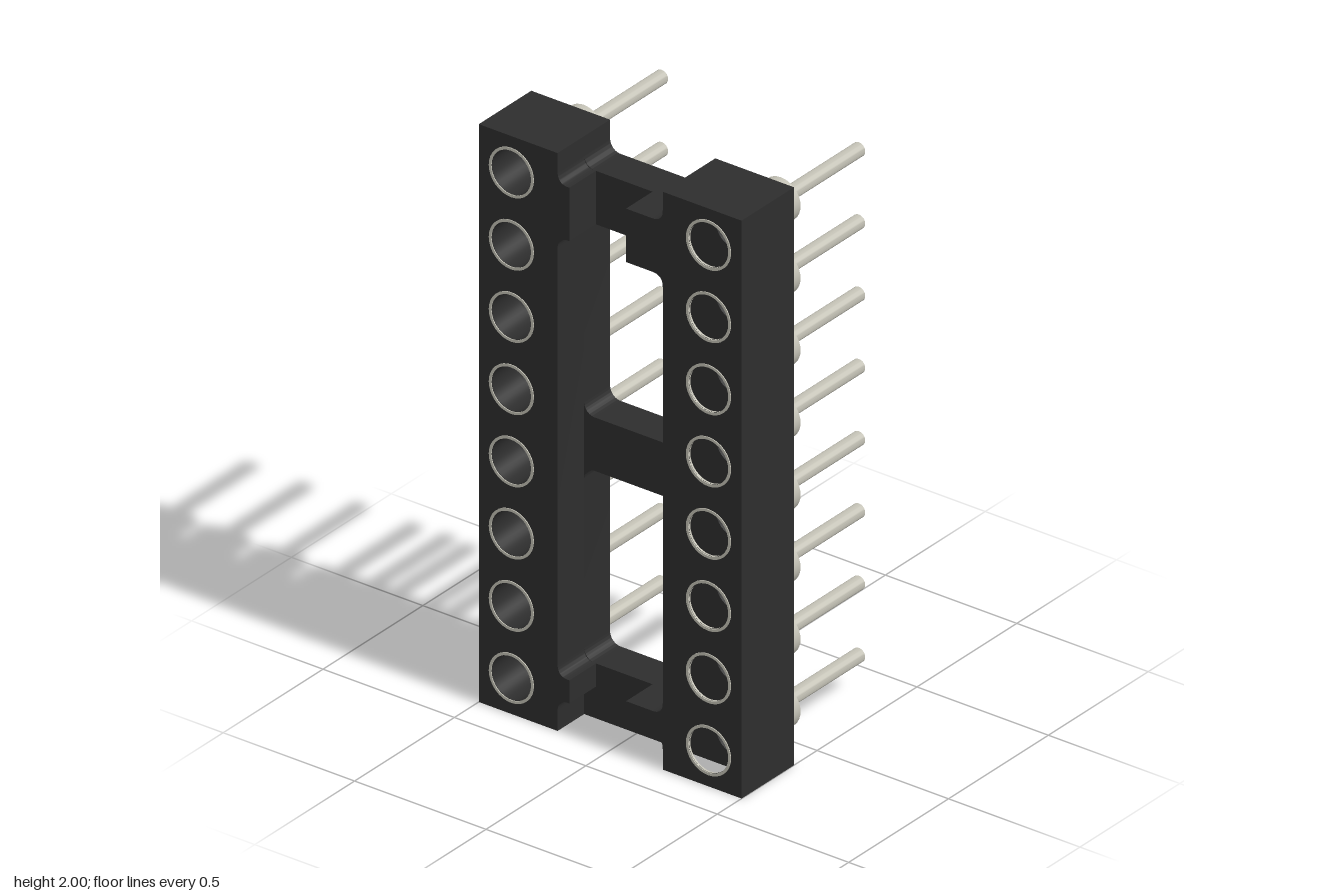
import * as THREE from 'three';
import { toCreasedNormals } from 'three/addons/utils/BufferGeometryUtils.js';

const BACK = 0.115, STEP = 0.245, FRONT = 0.378;
const PIN_X = 0.375, ROWS = 8, INNER = 0.2, R = 0.04;
const rowY = (i) => 0.125 + i * 0.25;

// Round pin sockets along one side
function addSockets(shape, side) {
  for (let i = 0; i < ROWS; i++) {
    const hole = new THREE.Path();
    hole.absarc(side * PIN_X, rowY(i), 0.075, 0, Math.PI * 2, true);
    shape.holes.push(hole);
  }
}

// Rounded rectangular window
function windowPath(y0, y1) {
  const p = new THREE.Path();
  p.moveTo(-INNER + R, y0);
  p.absarc(INNER - R, y0 + R, R, -Math.PI / 2, 0);
  p.absarc(INNER - R, y1 - R, R, 0, Math.PI / 2);
  p.absarc(-INNER + R, y1 - R, R, Math.PI / 2, Math.PI);
  p.absarc(-INNER + R, y0 + R, R, Math.PI, Math.PI * 1.5);
  return p;
}

function extrude(shape, z0, z1) {
  const g = new THREE.ExtrudeGeometry(shape, { depth: z1 - z0, bevelEnabled: false, curveSegments: 16 });
  g.translate(0, 0, z0);
  return toCreasedNormals(g, 0.6);
}

// Back half of the frame: rails, three bridges, notch at the top
function frameShape() {
  const s = new THREE.Shape();
  s.moveTo(-0.5, 0);
  s.lineTo(0.5, 0);
  s.lineTo(0.5, 2);
  s.lineTo(INNER, 2);
  s.lineTo(INNER, 1.895 + R);
  s.absarc(INNER - R, 1.895 + R, R, 0, -Math.PI / 2, true);
  s.absarc(-INNER + R, 1.895 + R, R, -Math.PI / 2, -Math.PI, true);
  s.lineTo(-INNER, 2);
  s.lineTo(-0.5, 2);
  s.closePath();
  s.holes.push(windowPath(0.19, 0.855), windowPath(1.04, 1.71));
  addSockets(s, -1);
  addSockets(s, 1);
  return s;
}

// Front half of one rail, with a filleted tab near each end
function railShape(side, tabX) {
  const s = new THREE.Shape();
  const a = side * INNER, b = side * (INNER - R), t = side * tabX;
  s.moveTo(side * 0.5, 0);
  s.lineTo(a, 0);
  for (const [y0, y1] of [[0.11, 0.19], [1.71, 1.895]]) {
    s.lineTo(a, y0 - R);
    s.quadraticCurveTo(a, y0, b, y0);
    s.lineTo(t, y0);
    s.lineTo(t, y1);
    s.lineTo(b, y1);
    s.quadraticCurveTo(a, y1, a, y1 + R);
  }
  s.lineTo(a, 2);
  s.lineTo(side * 0.5, 2);
  s.closePath();
  addSockets(s, side);
  return s;
}

// Turned part along z; profile is [radius, z]
function turned(profile) {
  const g = new THREE.LatheGeometry(profile.map(([r, z]) => new THREE.Vector2(r, z)), 32);
  g.rotateX(Math.PI / 2);
  return toCreasedNormals(g, 0.5);
}

export function createModel() {
  const model = new THREE.Group();
  const plastic = new THREE.MeshStandardMaterial({ color: 0x2d2d2d });
  plastic.name = 'blackPlastic';
  const metal = new THREE.MeshStandardMaterial({ color: 0xc3c1b5 });
  metal.name = 'tinMetal';

  const add = (parent, name, geometry, material) => {
    const mesh = new THREE.Mesh(geometry, material);
    mesh.name = name;
    parent.add(mesh);
    return mesh;
  };

  const body = new THREE.Group();
  body.name = 'body';
  model.add(body);
  add(body, 'backFrame', extrude(frameShape(), BACK, STEP), plastic);
  add(body, 'rightRail', extrude(railShape(-1, 0.155), STEP, FRONT), plastic);
  add(body, 'leftRail', extrude(railShape(1, 0.06), STEP, FRONT), plastic);

  // Pin: chamfered tip, shank, collar, then the hollow cup inside
  const pinGeometry = turned([
    [0, -0.383], [0.015, -0.383], [0.024, -0.374], [0.024, -0.01],
    [0.045, -0.01], [0.0745, 0.016], [0.0745, 0.15], [0.072, 0.15],
    [0.045, 0.06], [0.027, 0.05], [0.025, 0.01], [0.012, 0.005], [0, 0.005],
  ]);
  // Thin rim around the socket mouth
  const rimGeometry = turned([[0.085, 0.37], [0.085, 0.381], [0.076, 0.381], [0.076, 0.37]]);

  for (const side of [-1, 1]) {
    for (let i = 0; i < ROWS; i++) {
      const contact = new THREE.Group();
      contact.name = 'contact';
      contact.position.set(side * PIN_X, rowY(i), 0);
      add(contact, 'pin', pinGeometry, metal);
      add(contact, 'socketRim', rimGeometry, metal);
      model.add(contact);
    }
  }
  return model;
}
